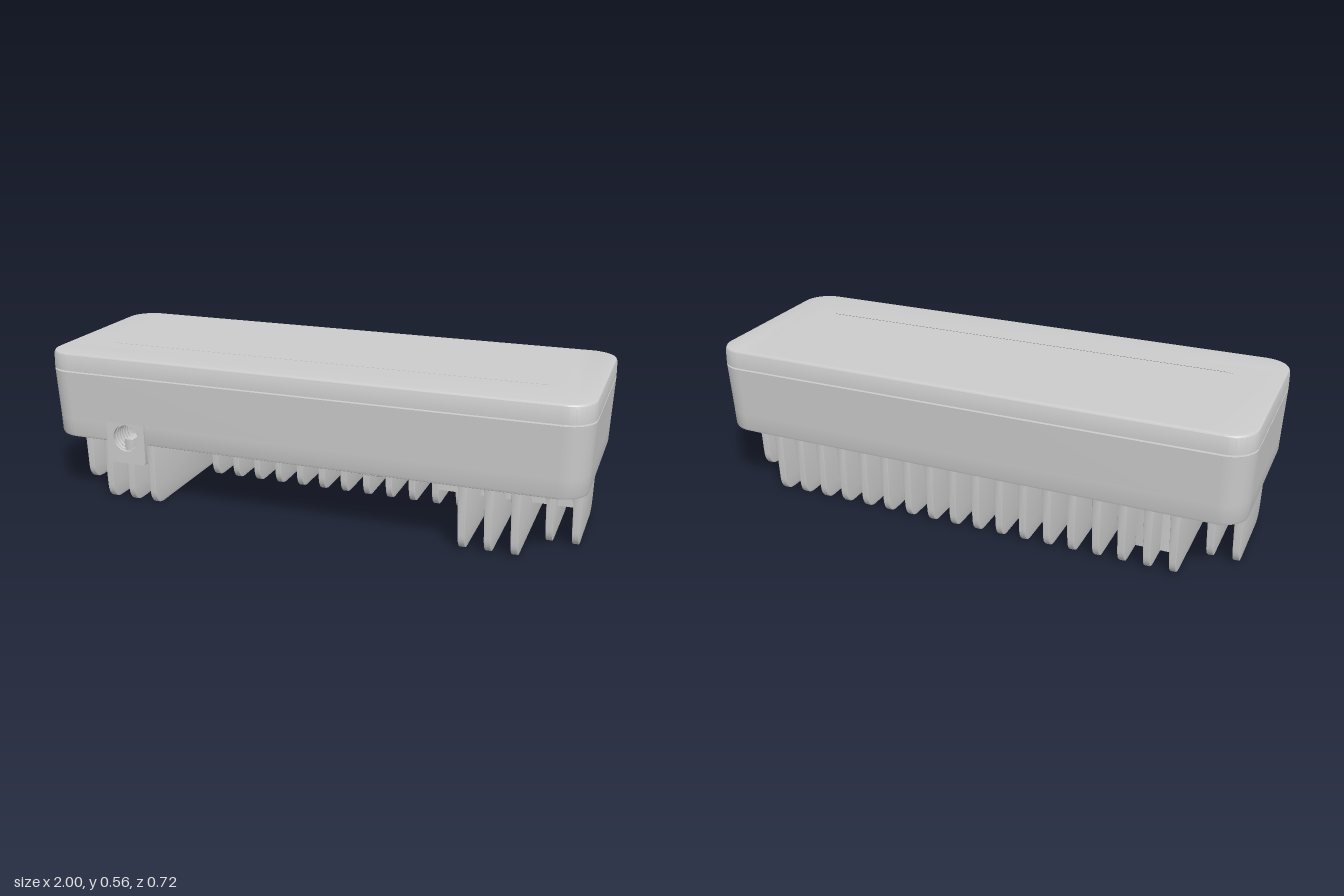
import * as THREE from 'three';
import { toCreasedNormals } from 'three/addons/utils/BufferGeometryUtils.js';

const W = 1, D = 0.36;
const mat = new THREE.MeshStandardMaterial({ color: 0xcccccc, roughness: 0.7 });
const matDouble = new THREE.MeshStandardMaterial({ color: 0xcccccc, side: THREE.DoubleSide });

function add(group, name, geo, x = 0, y = 0, z = 0, material = mat) {
  const mesh = new THREE.Mesh(geo, material);
  mesh.name = name;
  mesh.position.set(x, y, z);
  group.add(mesh);
  return mesh;
}

// Rounded rectangle seen from above (shape y = -z), with an optional notch in the front edge
function plan(w, d, r, notch) {
  const s = new THREE.Shape();
  s.moveTo(-w + r, -d);
  if (notch) {
    const [a, b, depth] = notch;
    s.lineTo(a, -d); s.lineTo(a, -d + depth); s.lineTo(b, -d + depth); s.lineTo(b, -d);
  }
  s.lineTo(w - r, -d);
  s.absarc(w - r, -d + r, r, -Math.PI / 2, 0);
  s.lineTo(w, d - r);
  s.absarc(w - r, d - r, r, 0, Math.PI / 2);
  s.lineTo(-w + r, d);
  s.absarc(-w + r, d - r, r, Math.PI / 2, Math.PI);
  s.lineTo(-w, -d + r);
  s.absarc(-w + r, -d + r, r, Math.PI, Math.PI * 1.5);
  return s;
}

// Extrude a plan upward through levels of [height, inset]
function slab(shape, levels) {
  const n = levels.length - 1;
  const geo = new THREE.ExtrudeGeometry(shape, { depth: n, steps: n, bevelEnabled: false, curveSegments: 12 });
  const p = geo.attributes.position;
  for (let i = 0; i < p.count; i++) {
    const [y, inset] = levels[Math.round(p.getZ(i))];
    p.setXYZ(i, p.getX(i) * (1 - inset / W), y, -p.getY(i) * (1 - inset / D));
  }
  return toCreasedNormals(geo, 0.5);
}

function circlePath(x, y, r) {
  const c = new THREE.Path();
  c.absarc(x, y, r, 0, Math.PI * 2, true);
  return c;
}

// Cooling fin: side profile with rounded lower corners, thinner toward its foot
function finGeometry(z0, z1) {
  const top = 0.25, r = 0.055, lean = 0.011, t = 0.024, b = 0.004;
  const s = new THREE.Shape();
  s.moveTo(z0 + b, top);
  s.lineTo(z0 + lean, b + r);
  s.quadraticCurveTo(z0 + lean + 0.003, b, z0 + lean + r, b);
  s.lineTo(z1 - lean - r, b);
  s.quadraticCurveTo(z1 - lean - 0.003, b, z1 - lean, b + r);
  s.lineTo(z1 - b, top);
  s.closePath();
  const geo = new THREE.ExtrudeGeometry(s, {
    depth: t, bevelEnabled: true, bevelThickness: b, bevelSize: b, bevelSegments: 2, curveSegments: 8,
  });
  geo.translate(0, 0, -t / 2);
  geo.rotateY(-Math.PI / 2);
  const p = geo.attributes.position;
  for (let i = 0; i < p.count; i++) p.setX(i, p.getX(i) * (0.72 + 0.33 * p.getY(i) / top));
  return toCreasedNormals(geo, 0.6);
}

export function createModel() {
  const model = new THREE.Group();

  // Lower housing band, with screw recesses and a pocket for the threaded port
  const lower = plan(W, D, 0.095, [-0.757, -0.603, 0.14]);
  for (const x of [-0.885, 0.885])
    for (const z of [-0.255, 0.255]) lower.holes.push(circlePath(x, z, 0.045));
  add(model, 'lowerHousing', slab(lower, [[0.24, 0.018], [0.243, 0.012], [0.252, 0.009], [0.318, 0.007]]));
  add(model, 'upperHousing', slab(plan(W, D, 0.095), [[0.318, 0.007], [0.494, 0]]));
  add(model, 'seam', slab(plan(W, D, 0.095), [[0.494, 0.016], [0.5, 0.016]]));

  // Lid with a narrow groove around an inset panel
  add(model, 'lid', slab(plan(W, D, 0.095), [[0.5, 0], [0.552, 0.001], [0.559, 0.003]]));
  const shiftPanel = (shape) => new THREE.Shape(shape.getPoints(10).map((p) => p.add(new THREE.Vector2(0, 0.09))));
  const rim = plan(W, D, 0.095);
  rim.holes.push(shiftPanel(plan(0.858, 0.252, 0.065)));
  add(model, 'lidRim', slab(rim, [[0.559, 0.003], [0.563, 0.005], [0.565, 0.009]]));
  add(model, 'topPanel', slab(shiftPanel(plan(0.851, 0.245, 0.06)), [[0.558, 0], [0.565, 0]]));

  // Row of fins: short at the ends, full depth beside the mounts, rear half in the middle
  const fins = new THREE.Group();
  fins.name = 'coolingFins';
  model.add(fins);
  const endFin = finGeometry(-0.187, 0.187);
  const fullFin = finGeometry(-0.342, 0.342);
  const rearFin = finGeometry(-0.342, 0);
  for (let i = 0; i < 22; i++) {
    const x = -0.948 + i * 1.896 / 21, a = Math.abs(x);
    add(fins, 'fin', a > 0.8 ? endFin : a > 0.55 ? fullFin : rearFin, x);
  }

  // Mounting blocks with a screw hole, between the full fins
  for (const side of [-1, 1]) {
    const shape = plan(0.085, 0.065, 0.01);
    shape.holes.push(circlePath(0.03, 0, 0.022));
    const geo = slab(shape, [[0.008, 0], [0.245, 0]]);
    add(model, 'mountBlock', geo, side * 0.68, 0, -0.13);
  }

  // Cross bar joining the fins at one end
  add(model, 'crossBar', new THREE.BoxGeometry(0.49, 0.125, 0.25), 0.69, 0.1825, -0.02);

  // Round covers on the underside
  for (const [x, r] of [[-0.205, 0.125], [0.26, 0.158]]) {
    const profile = [[0, 0.231], [r * 0.62, 0.231], [r * 0.64, 0.238], [r * 0.72, 0.238],
      [r * 0.74, 0.231], [r * 0.97, 0.231], [r, 0.234], [r, 0.242]];
    const geo = new THREE.LatheGeometry(profile.map(([a, b]) => new THREE.Vector2(a, b)), 40);
    add(model, 'roundCover', toCreasedNormals(geo, 0.4), x, 0, 0.175, matDouble);
  }

  // Threaded port set flush into the front wall
  const port = new THREE.Group();
  port.name = 'threadedPort';
  port.position.set(-0.68, 0.26, 0);
  model.add(port);
  const face = new THREE.Shape();
  face.moveTo(-0.077, 0.058);
  face.lineTo(-0.077, -0.085);
  face.quadraticCurveTo(-0.077, -0.097, -0.065, -0.097);
  face.lineTo(0.065, -0.097);
  face.quadraticCurveTo(0.077, -0.097, 0.077, -0.085);
  face.lineTo(0.077, 0.058);
  face.closePath();
  face.holes.push(circlePath(0, 0, 0.051));
  const boss = new THREE.ExtrudeGeometry(face, { depth: 0.135, bevelEnabled: false, curveSegments: 24 });
  add(port, 'portBoss', toCreasedNormals(boss, 0.5), 0, 0, 0.218);
  add(port, 'portFloor', new THREE.CircleGeometry(0.052, 32), 0, 0, 0.225);
  for (let i = 0; i < 6; i++)
    add(port, 'threadRing', new THREE.TorusGeometry(0.05, 0.006, 6, 32), 0, 0, 0.245 + i * 0.018);

  return model;
}
